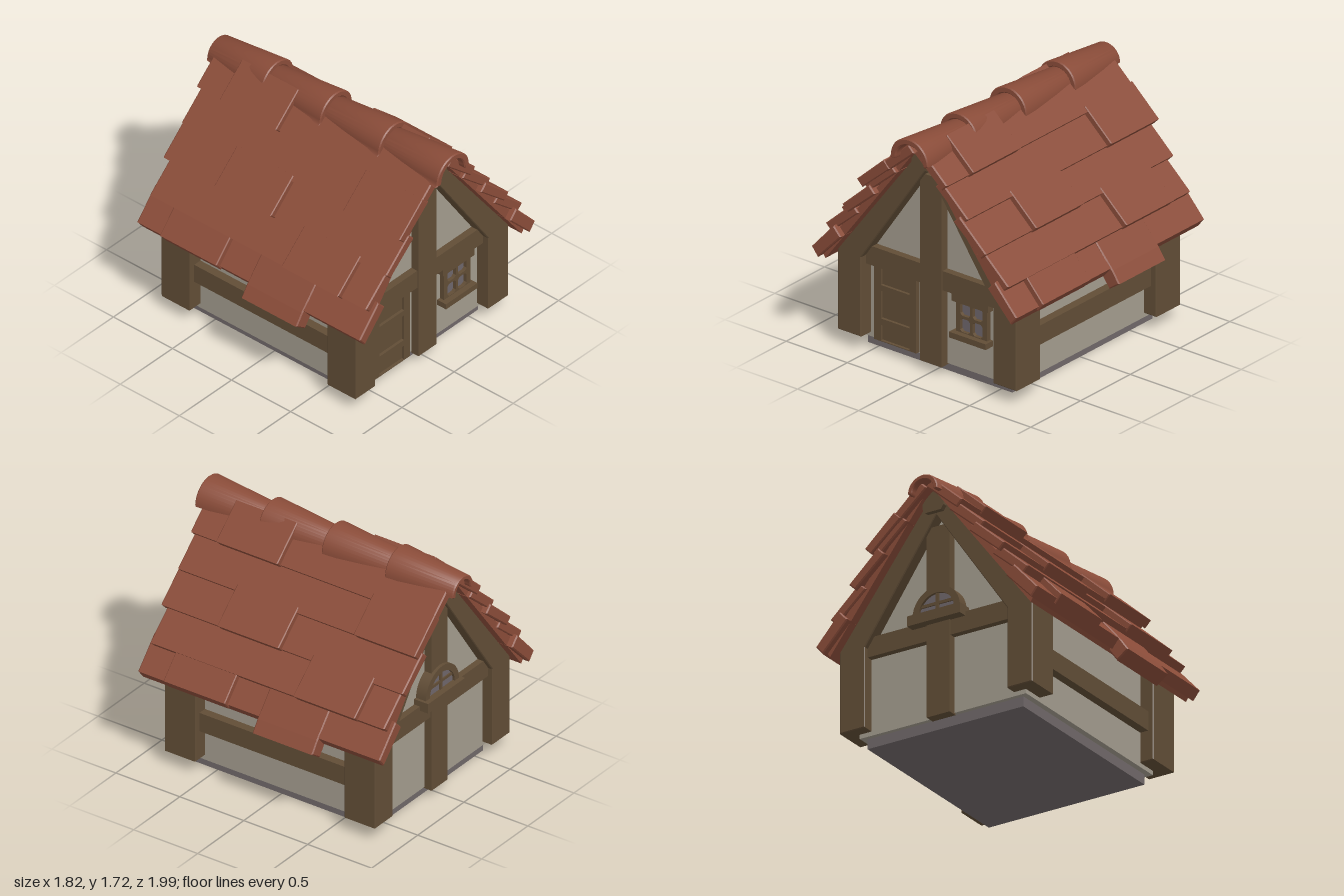
import * as THREE from 'three';
import { toCreasedNormals } from 'three/addons/utils/BufferGeometryUtils.js';

const mat = (name, color) => Object.assign(new THREE.MeshStandardMaterial({ color }), { name });

export function createModel() {
  const wood = mat('wood', 0x614d36), plaster = mat('plaster', 0xa39c8e), tileRed = mat('roofTile', 0x8a4c39);
  const stone = mat('stone', 0x706869), glass = mat('glass', 0x6e666b);
  const house = new THREE.Group();
  house.name = 'cottage';

  const add = (name, geo, material, parent = house) => {
    const m = new THREE.Mesh(geo, material);
    m.name = name;
    parent.add(m);
    return m;
  };
  // box given by its limits on each axis
  const box = (name, x0, x1, y0, y1, z0, z1, material = wood, parent = house) => {
    const g = new THREE.BoxGeometry(x1 - x0, y1 - y0, z1 - z0);
    g.translate((x0 + x1) / 2, (y0 + y1) / 2, (z0 + z1) / 2);
    return add(name, g, material, parent);
  };
  const outline = pts => new THREE.Shape(pts.map(p => new THREE.Vector2(...p)));
  const mirrored = pts => [...pts, ...pts.filter(p => p[0] !== 0).reverse().map(([x, y]) => [-x, y])];
  // outline in x/y, swept from z0 to z1, with an optional small bevel
  const sweep = (shape, z0, z1, bevel = 0) => {
    const g = new THREE.ExtrudeGeometry(shape, {
      depth: z1 - z0 - 2 * bevel, bevelEnabled: bevel > 0, bevelSize: bevel,
      bevelOffset: -bevel, bevelThickness: bevel, bevelSegments: 1, curveSegments: 10,
    });
    return g.translate(0, 0, z0 + bevel);
  };
  const rectHole = (x0, x1, y0, y1) =>
    new THREE.Path([[x0, y0], [x0, y1], [x1, y1], [x1, y0]].map(p => new THREE.Vector2(...p)));

  // Base and walls
  box('base', -0.59, 0.59, 0, 0.07, -0.725, 0.68, stone);
  add('walls', sweep(outline(mirrored([[0.63, 0.07], [0.63, 0.75], [0, 1.55]])), -0.755, 0.715), plaster);

  // Gable frames: corner posts running into rafters
  const frame = outline([
    [0.54, 0.1], [0.73, 0.1], [0.73, 0.68], [0.07, 1.57], [-0.07, 1.57], [-0.73, 0.68], [-0.73, 0.1],
    [-0.54, 0.1], [-0.54, 0.66], [0, 1.45], [0.54, 0.66],
  ]);
  add('frontFrame', sweep(frame, 0.57, 0.815, 0.006), wood);
  add('backFrame', sweep(frame, -0.835, -0.59, 0.006), wood);

  // Centre posts, cross beams, side rails and ridge beam
  box('frontCentrePost', -0.087, 0.087, 0.06, 1.38, 0.7, 0.775);
  box('frontCrossBeam', -0.55, 0.55, 0.6, 0.735, 0.7, 0.765);
  box('backCentrePost', -0.087, 0.087, 0.06, 1.38, -0.81, -0.74);
  box('backCrossBeam', -0.55, 0.55, 0.6, 0.735, -0.8, -0.74);
  for (const s of [-1, 1]) {
    const x = s * 0.65;
    box('sideRail', x - 0.04, x + 0.04, 0.31, 0.445, -0.6, 0.58);
  }
  add('ridgeBeam', sweep(outline(mirrored([
    [0.06, 1.46], [0.08, 1.49], [0.08, 1.62], [0.055, 1.645],
  ])), -0.87, 0.87), wood);

  // Door with three recessed panels
  const door = new THREE.Group();
  door.name = 'door';
  house.add(door);
  const doorShape = outline([[-0.485, 0.08], [-0.14, 0.08], [-0.14, 0.6], [-0.485, 0.6]]);
  for (const [y0, y1] of [[0.085, 0.195], [0.24, 0.435], [0.475, 0.595]])
    doorShape.holes.push(rectHole(-0.43, -0.195, y0, y1));
  add('doorFrame', sweep(doorShape, 0.7, 0.75), wood, door);
  box('doorPanels', -0.48, -0.145, 0.082, 0.6, 0.7, 0.73, wood, door);

  // Front window: frame with four round-cornered panes, lintel and sill
  const win = new THREE.Group();
  win.name = 'frontWindow';
  house.add(win);
  const winShape = outline([[0.185, 0.32], [0.44, 0.32], [0.44, 0.57], [0.185, 0.57]]);
  for (const x of [0.22, 0.322]) for (const y of [0.345, 0.46]) {
    const w = 0.08, h = y < 0.4 ? 0.095 : 0.09, c = 0.015;
    winShape.holes.push(new THREE.Path([
      [x + c, y], [x, y + c], [x, y + h - c], [x + c, y + h],
      [x + w - c, y + h], [x + w, y + h - c], [x + w, y + c], [x + w - c, y],
    ].map(p => new THREE.Vector2(...p))));
  }
  add('windowFrame', sweep(winShape, 0.7, 0.75), wood, win);
  box('windowGlass', 0.2, 0.42, 0.335, 0.56, 0.718, 0.725, glass, win);
  box('windowLintel', 0.16, 0.46, 0.55, 0.6, 0.7, 0.765, wood, win);
  box('windowSill', 0.16, 0.46, 0.3, 0.34, 0.7, 0.79, wood, win);

  // Arched back window above the cross beam
  const arch = new THREE.Group();
  arch.name = 'backWindow';
  house.add(arch);
  const archShape = new THREE.Shape();
  archShape.absarc(0, 0.77, 0.18, 0, Math.PI, false);
  archShape.absarc(0, 0.77, 0.135, Math.PI, 0, true);
  add('archFrame', toCreasedNormals(sweep(archShape, -0.832, -0.75), 0.6), wood, arch);
  const pane = new THREE.Shape();
  pane.absarc(0, 0.77, 0.14, 0, Math.PI, false);
  add('archGlass', sweep(pane, -0.815, -0.75), glass, arch);
  box('archMullion', -0.012, 0.012, 0.77, 0.91, -0.824, -0.8, wood, arch);
  box('archTransom', -0.135, 0.135, 0.825, 0.845, -0.824, -0.8, wood, arch);
  box('archSill', -0.2, 0.2, 0.705, 0.775, -0.865, -0.75, wood, arch);

  // One roof slope; the other is the same turned half round
  const buildSlope = name => {
    const slope = new THREE.Group();
    slope.name = name;
    house.add(slope);
    add('roofDeck', sweep(outline([[0.76, 0.62], [0.8, 0.68], [0, 1.66], [0, 1.6], [0.05, 1.56]]), -0.9, 0.9), tileRed, slope);
    const course = (x, y) => outline([[x, y], [x - 0.22, y + 0.2], [x - 0.27, y + 0.15], [x - 0.045, y - 0.045]]);
    const eave = (x, y) => outline([[x, y], [x - 0.18, y + 0.2], [x - 0.24, y + 0.135], [x - 0.05, y - 0.062]]);
    // lower edge x, y, end z, then the span in z of the raised tile
    const rows = [
      [0.27, 1.45, 0.945, 0.24, 0.72], [0.43, 1.26, 0.93, -0.95, -0.47], [0.59, 1.067, 0.945, 0, 0.48],
      [0.75, 0.874, 0.915, -0.71, -0.23], [0.84, 0.695, 0.945, 0.24, 0.72],
    ];
    rows.forEach(([x, y, end, z0, z1], i) => {
      const section = i === 4 ? eave : course;
      add('tileCourse', sweep(section(x, y), -end, end, 0.008), tileRed, slope);
      add('raisedTile', sweep(section(x + 0.036, y + 0.024), z0, z1, 0.006), tileRed, slope);
    });
    add('hangingTile', sweep(outline([
      [0.91, 0.605], [0.855, 0.685], [0.7, 0.87], [0.64, 0.8], [0.825, 0.545],
    ]), -0.47, 0, 0.008), tileRed, slope);
    return slope;
  };
  buildSlope('leftRoofSlope');
  buildSlope('rightRoofSlope').rotation.y = Math.PI;

  // Ridge tiles: arches that narrow toward the back
  const ridgeShape = new THREE.Shape();
  ridgeShape.moveTo(0.165, 0);
  ridgeShape.absarc(0, 0.015, 0.155, 0, Math.PI, false);
  ridgeShape.lineTo(-0.165, 0);
  ridgeShape.lineTo(-0.12, 0);
  ridgeShape.absarc(0, 0.015, 0.11, Math.PI, 0, true);
  ridgeShape.lineTo(0.12, 0);
  for (let i = 0; i < 4; i++) {
    const front = 0.995 - i * 0.495, length = i === 3 ? 0.505 : 0.55;
    const g = sweep(ridgeShape, -length, 0, 0.008);
    const p = g.attributes.position;
    for (let k = 0; k < p.count; k++) {
      const t = -p.getZ(k) / length;
      p.setX(k, p.getX(k) * (1 - 0.28 * t));
      p.setY(k, 1.548 + p.getY(k) * (1 - 0.3 * t));
    }
    g.translate(0, 0, front);
    add('ridgeTile', toCreasedNormals(g, 0.6), tileRed);
  }
  return house;
}
